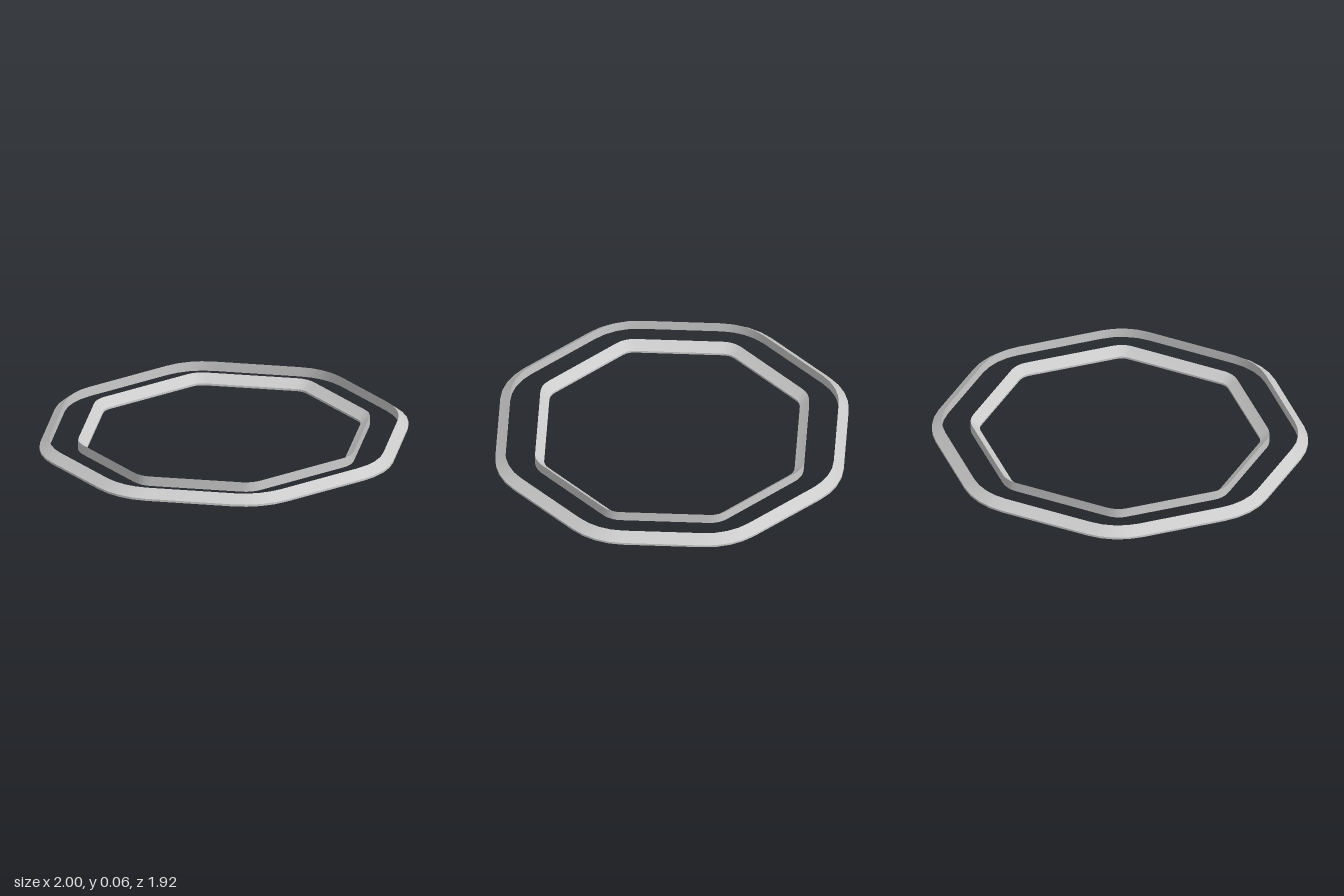
import * as THREE from 'three';
import { toCreasedNormals } from 'three/addons/utils/BufferGeometryUtils.js';

const CORNER_STEPS = 4;

// Outline of a rounded octagon: the eight corner arcs, joined by straight sides.
// sideX / sideZ are the arc centres next to the x and z sides.
function outline(sideX, sideZ, radius) {
  const points = [];
  for (let j = 0; j < 8; j++) {
    const mid = (j + 0.5) * Math.PI / 4;
    const c = Math.cos(mid), s = Math.sin(mid);
    const [cx, cz] = Math.abs(c) > Math.abs(s) ? sideX : sideZ;
    for (let k = 0; k <= CORNER_STEPS; k++) {
      const a = (j + k / CORNER_STEPS) * Math.PI / 4;
      points.push([
        Math.sign(c) * cx + radius * Math.cos(a),
        Math.sign(s) * cz + radius * Math.sin(a),
      ]);
    }
  }
  return points;
}

// Closed trim: sweeps a loop of [radius, y] pairs around the octagon.
// The loop runs up on the outside and down on the inside.
function trim(name, sideX, sideZ, profile, material) {
  const rings = profile.map(([r, y]) =>
    outline(sideX, sideZ, r).map(([x, z]) => [x, y, z]));
  const count = rings[0].length;
  const index = [];
  for (let p = 0; p < rings.length; p++) {
    const q = (p + 1) % rings.length;
    for (let i = 0; i < count; i++) {
      const next = (i + 1) % count;
      const a = p * count + i, b = p * count + next;
      const c = q * count + i, d = q * count + next;
      index.push(a, c, b, b, c, d);
    }
  }
  const geometry = new THREE.BufferGeometry();
  geometry.setAttribute('position', new THREE.Float32BufferAttribute(rings.flat(2), 3));
  geometry.setIndex(index);
  const mesh = new THREE.Mesh(toCreasedNormals(geometry, 0.5), material);
  mesh.name = name;
  return mesh;
}

export function createModel() {
  const group = new THREE.Group();
  group.name = 'octagonalFrame';
  const material = new THREE.MeshStandardMaterial({ color: 0xcccccc });

  // outer trim: short upright foot, slope leaning in, upright back wall
  group.add(trim('outerTrim', [0.60, 0.22], [0.26, 0.56],
    [[0.40, 0], [0.40, 0.012], [0.388, 0.021], [0.345, 0.056], [0.345, 0]], material));

  // inner trim: the same profile mirrored, its slope facing the opening
  group.add(trim('innerTrim', [0.64, 0.243], [0.28, 0.60],
    [[0.14, 0.056], [0.102, 0.021], [0.09, 0.012], [0.09, 0], [0.14, 0]], material));

  return group;
}
